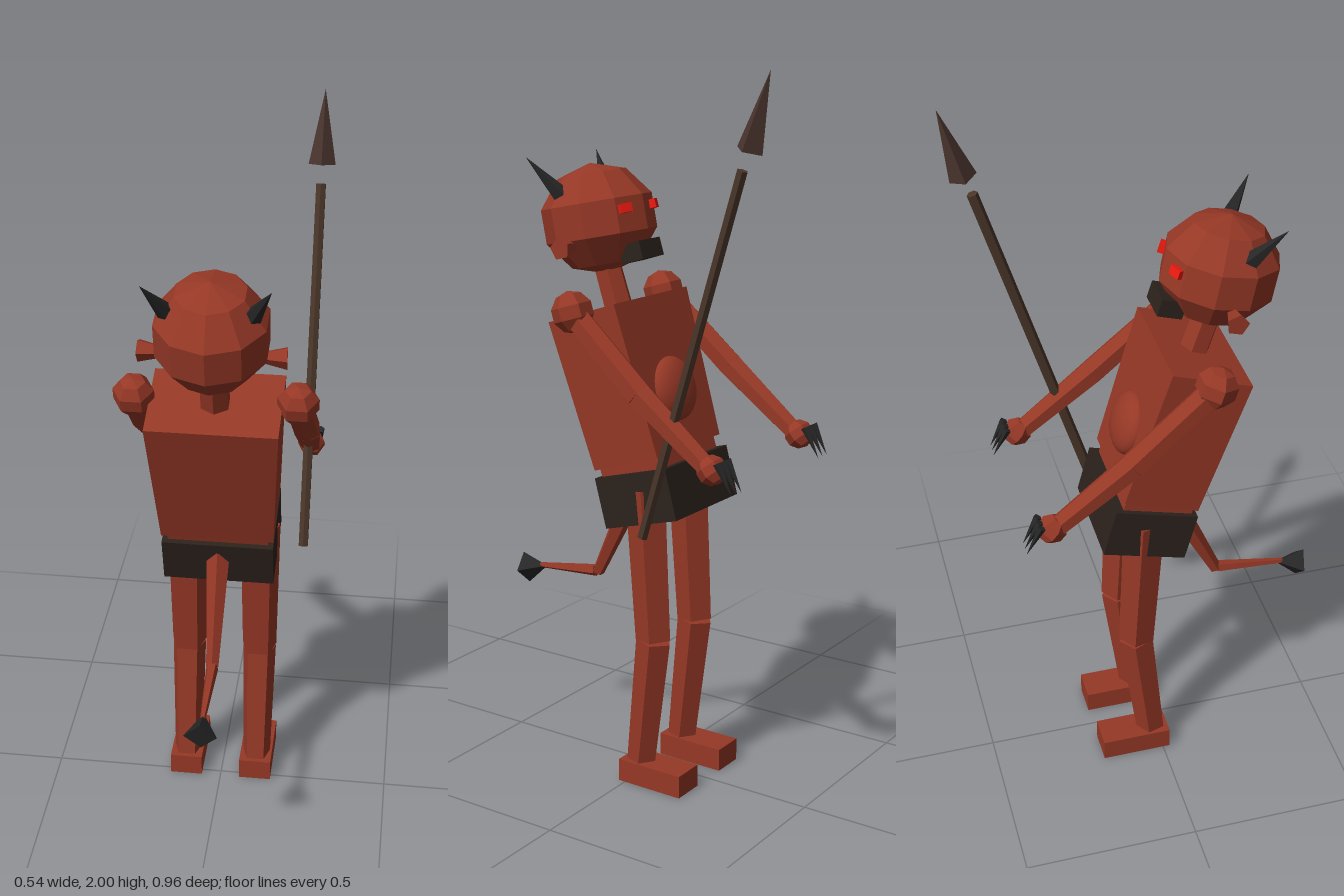
import * as THREE from 'three';

const material = (color) => new THREE.MeshStandardMaterial({ color, flatShading: true });
const skin = material(0x963826);
const cloth = material(0x2c221c);
const horn = material(0x262626);
const wood = material(0x4a3629);
const spearTip = material(0x4a342e);
const glow = material(0xee1a10);
const LEAN = 0.315;

export function createModel() {
  const model = new THREE.Group();
  model.name = 'hornedImp';

  const add = (name, geometry, mat, [x, y, z], tilt = 0) => {
    const mesh = new THREE.Mesh(geometry, mat);
    mesh.name = name;
    mesh.position.set(x, y, z);
    mesh.rotation.x = tilt;
    model.add(mesh);
    return mesh;
  };

  // Tapered prism running from point a (radius ra) to point b (radius rb)
  const limb = (name, a, b, ra, rb, sides, mat, spin = 0) => {
    const from = new THREE.Vector3(...a);
    const dir = new THREE.Vector3(...b).sub(from);
    const geometry = new THREE.CylinderGeometry(rb, ra, dir.length(), sides);
    geometry.rotateY(spin);
    const mesh = add(name, geometry, mat, from.addScaledVector(dir, 0.5).toArray());
    mesh.quaternion.setFromUnitVectors(new THREE.Vector3(0, 1, 0), dir.normalize());
    return mesh;
  };

  // Torso: box narrowing toward the waist, leaning back
  const torso = new THREE.BoxGeometry(0.35, 0.425, 0.23);
  const p = torso.attributes.position;
  for (let i = 0; i < p.count; i++) {
    if (p.getY(i) < 0) p.setXYZ(i, p.getX(i) * 0.89, p.getY(i), p.getZ(i) * 0.95);
  }
  torso.computeVertexNormals();
  add('torso', torso, skin, [0, 1.143, 0.056], LEAN);
  add('shorts', new THREE.BoxGeometry(0.31, 0.143, 0.24), cloth, [0, 0.847, -0.04], 0.265);
  add('waist', new THREE.BoxGeometry(0.28, 0.06, 0.2), skin, [0, 0.92, -0.015], LEAN);

  // Round smooth belly
  const belly = add('belly', new THREE.SphereGeometry(1, 24, 16),
    new THREE.MeshStandardMaterial({ color: skin.color }), [0, 1.13, -0.06], LEAN);
  belly.scale.set(0.09, 0.09, 0.045);

  // Neck and faceted head
  limb('neck', [0, 1.32, 0.115], [0, 1.47, 0.165], 0.042, 0.04, 6, skin);
  const skull = new THREE.SphereGeometry(1, 10, 5).rotateY(Math.PI / 2);
  skull.scale(0.157, 0.153, 0.165);
  add('head', skull, skin, [0, 1.577, 0.186], 0.2);
  add('goatee', new THREE.BoxGeometry(0.1, 0.05, 0.07), cloth, [0, 1.5, 0.045], 0.3);

  for (const s of [1, -1]) {
    // Face details
    const eye = add('eye', new THREE.BoxGeometry(0.036, 0.024, 0.025), glow, [s * 0.066, 1.62, 0.054], 0.3);
    eye.rotation.y = -s * 0.42;
    limb('ear', [s * 0.13, 1.515, 0.182], [s * 0.19, 1.515, 0.178], 0.016, 0.031, 5, skin);
    limb('horn', [s * 0.104, 1.645, 0.235], [s * 0.16, 1.75, 0.312], 0.026, 0, 5, horn);

    // Arms reaching forward and down
    add('shoulder', new THREE.SphereGeometry(0.058, 6, 5), skin, [s * 0.216, 1.355, 0.118], 0.3);
    const elbow = [s * 0.226, 1.158, -0.108];
    const wrist = [s * 0.226, 0.997, -0.315];
    limb('upperArm', elbow, [s * 0.216, 1.355, 0.118], 0.038, 0.036, 6, skin);
    limb('forearm', wrist, elbow, 0.029, 0.038, 6, skin);
    add('hand', new THREE.SphereGeometry(0.041, 6, 5), skin, [s * 0.226, 0.992, -0.33], 0.7);
    for (const dx of [-0.024, 0, 0.024]) {
      limb('claw', [s * 0.226 + dx, 1.02, -0.362], [s * 0.226 + dx, 0.938, -0.406], 0.012, 0, 5, horn);
    }

    // Legs and feet
    const x = s * 0.105;
    limb('thigh', [x, 0.437, -0.07], [x, 0.87, -0.045], 0.0525, 0.06, 5, skin, Math.PI);
    limb('shin', [x, 0.06, -0.028], [x, 0.432, -0.07], 0.043, 0.0515, 5, skin, Math.PI);
    add('foot', new THREE.BoxGeometry(0.095, 0.065, 0.205), skin, [x, 0.0325, -0.082]);
  }

  // Tail with a dark spade end
  limb('tailBase', [0, 0.55, 0.2], [0, 0.84, 0.058], 0.018, 0.034, 5, skin);
  limb('tailEnd', [0, 0.553, 0.207], [0, 0.53, 0.41], 0.018, 0.008, 5, skin);
  limb('tailTip', [0, 0.513, 0.466], [0, 0.531, 0.388], 0.046, 0, 4, horn);

  // Spear carried in the left hand
  limb('spearShaft', [0.225, 0.772, -0.113], [0.225, 1.757, -0.41], 0.015, 0.015, 6, wood);
  limb('spearHead', [0.225, 1.805, -0.43], [0.225, 1.998, -0.485], 0.037, 0, 4, spearTip);

  return model;
}
